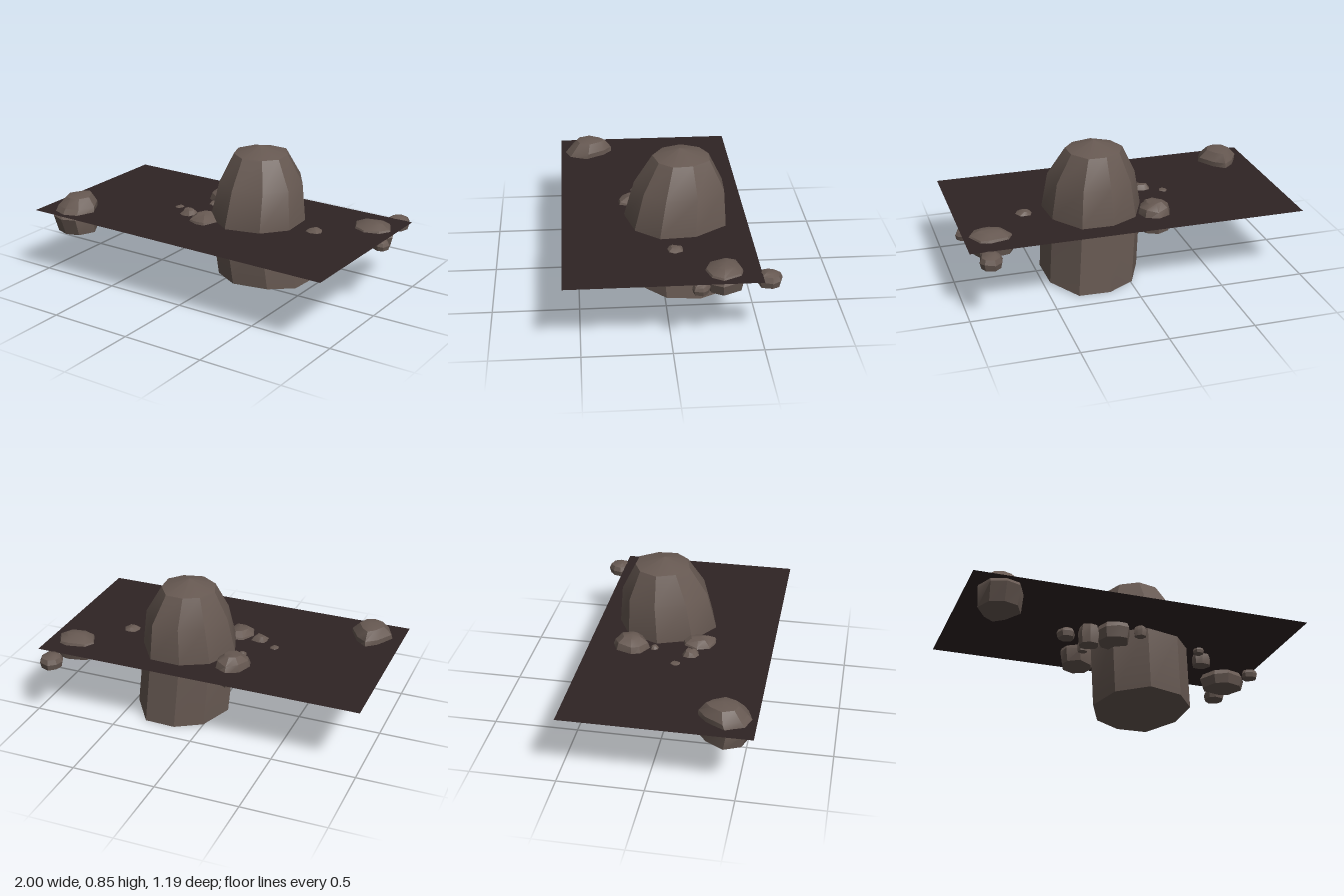
import * as THREE from 'three';
import { toCreasedNormals } from 'three/addons/utils/BufferGeometryUtils.js';

const stone = new THREE.MeshStandardMaterial({ color: 0x675952 });
stone.name = 'brown stone';
const ground = new THREE.MeshStandardMaterial({ color: 0x2f2424, side: THREE.DoubleSide });
ground.name = 'dark earth';

// Small seeded generator for the irregular pebbles
function seeded(seed) {
  let s = seed * 7919 + 17;
  return () => ((s = (s * 16807) % 2147483647) / 2147483647);
}

// Skin closed rings of points, with a fan to a centre point at each end
function skin(rings, low, high, crease) {
  const out = [];
  const tri = (a, b, c) => out.push(...a, ...b, ...c);
  const n = rings[0].length;
  const last = rings[rings.length - 1];
  for (let i = 0; i < n; i++) {
    const j = (i + 1) % n;
    tri(low, rings[0][j], rings[0][i]);
    tri(last[i], last[j], high);
    for (let r = 0; r + 1 < rings.length; r++) {
      tri(rings[r][i], rings[r][j], rings[r + 1][j]);
      tri(rings[r][i], rings[r + 1][j], rings[r + 1][i]);
    }
  }
  const g = new THREE.BufferGeometry();
  g.setAttribute('position', new THREE.Float32BufferAttribute(out, 3));
  return toCreasedNormals(g, crease);
}

function addMesh(group, name, geometry, material) {
  const m = new THREE.Mesh(geometry, material);
  m.name = name;
  group.add(m);
  return m;
}

// Irregular domed rock that fills the given box
function rockGeometry(x, z, w, d, y0, y1, seed, sides = 8) {
  const rnd = seeded(seed);
  rnd();
  const h = y1 - y0;
  const outline = Array.from({ length: sides }, (_, i) => {
    const a = ((i + (rnd() - 0.5) * 0.5) / sides) * Math.PI * 2;
    const k = 0.92 + rnd() * 0.16;
    return [Math.sin(a) * k, Math.cos(a) * k];
  });
  const levels = [[0, 0.88], [0.45, 1], [0.78, 0.82], [0.95, 0.45]];
  const rings = levels.map(([t, s]) => outline.map(([ox, oz]) => [
    x + (ox * s * w) / 2,
    y0 + h * (t + (t ? (rnd() - 0.5) * 0.08 : 0)),
    z + (oz * s * d) / 2,
  ]));
  return skin(rings, [x, y0 + h * 0.06, z], [x, y1, z], 0.5);
}

export function createModel() {
  const group = new THREE.Group();

  // Flat ground sheet
  const sheet = addMesh(group, 'groundSheet', new THREE.PlaneGeometry(1.98, 1.08), ground);
  sheet.rotation.x = -Math.PI / 2;
  sheet.position.set(-0.01, 0.41, 0.05);

  // Tall boulder through the sheet: [y, centre x, centre z, half width, half depth, tilt]
  const outline = [[-0.12, 1], [0.6, 0.82], [1, 0.35], [0.95, -0.35], [0.5, -0.98],
    [-0.15, -1], [-0.7, -0.72], [-1, -0.08], [-0.75, 0.6]];
  const levels = [
    [0.03, 0.195, -0.105, 0.285, 0.285, 0.03],
    [0.42, 0.165, -0.072, 0.285, 0.293, 0],
    [0.63, 0.17, -0.095, 0.25, 0.257, 0],
    [0.795, 0.16, -0.108, 0.163, 0.163, 0],
  ];
  const rings = levels.map(([y, cx, cz, rx, rz, tilt]) =>
    outline.map(([ox, oz]) => [cx + ox * rx, y + oz * tilt, cz + oz * rz]));
  addMesh(group, 'boulder', skin(rings, [0.2, 0.04, -0.1], [0.165, 0.845, -0.1], 0.45), stone);

  // Corner rock, tapering toward its back
  const cornerOutline = [[0, 1], [0.65, 0.8], [1, 0.1], [0.5, -0.65], [0, -1],
    [-0.5, -0.65], [-1, 0.1], [-0.65, 0.8]];
  const cornerLevels = [
    [0.28, 0.405, 0.122, 0.135],
    [0.385, 0.42, 0.13, 0.16],
    [0.44, 0.4, 0.122, 0.135],
    [0.49, 0.395, 0.075, 0.09],
  ];
  const cornerRings = cornerLevels.map(([y, cz, rx, rz]) =>
    cornerOutline.map(([ox, oz]) => [-0.81 + ox * rx, y, cz + oz * rz]));
  addMesh(group, 'cornerRock', skin(cornerRings, [-0.81, 0.29, 0.4], [-0.8, 0.507, 0.4], 0.5), stone);

  // Scattered rocks: name, x, z, width, depth, bottom, top
  [
    ['backRock', -0.16, -0.24, 0.21, 0.24, 0.31, 0.485],
    ['backRockChip', -0.17, -0.1, 0.06, 0.06, 0.35, 0.43],
    ['frontRock', -0.06, 0.15, 0.2, 0.24, 0.315, 0.45],
    ['frontLeftRock', -0.2, 0.12, 0.14, 0.13, 0.29, 0.44],
    ['buriedRock', -0.32, 0.05, 0.11, 0.11, 0.35, 0.415],
    ['frontPebble', 0.08, 0.23, 0.08, 0.07, 0.34, 0.41],
    ['sideRock', 0.575, -0.045, 0.12, 0.11, 0.34, 0.43],
    ['sidePebble', 0.51, 0.075, 0.07, 0.07, 0.36, 0.4],
    ['farRock', 0.825, -0.295, 0.27, 0.24, 0.32, 0.45],
    ['farCornerRock', 0.87, -0.53, 0.14, 0.14, 0.34, 0.42],
    ['edgePebble', 0.95, -0.15, 0.1, 0.1, 0.35, 0.41],
  ].forEach(([name, ...box], i) => addMesh(group, name, rockGeometry(...box, i + 3), stone));

  return group;
}
